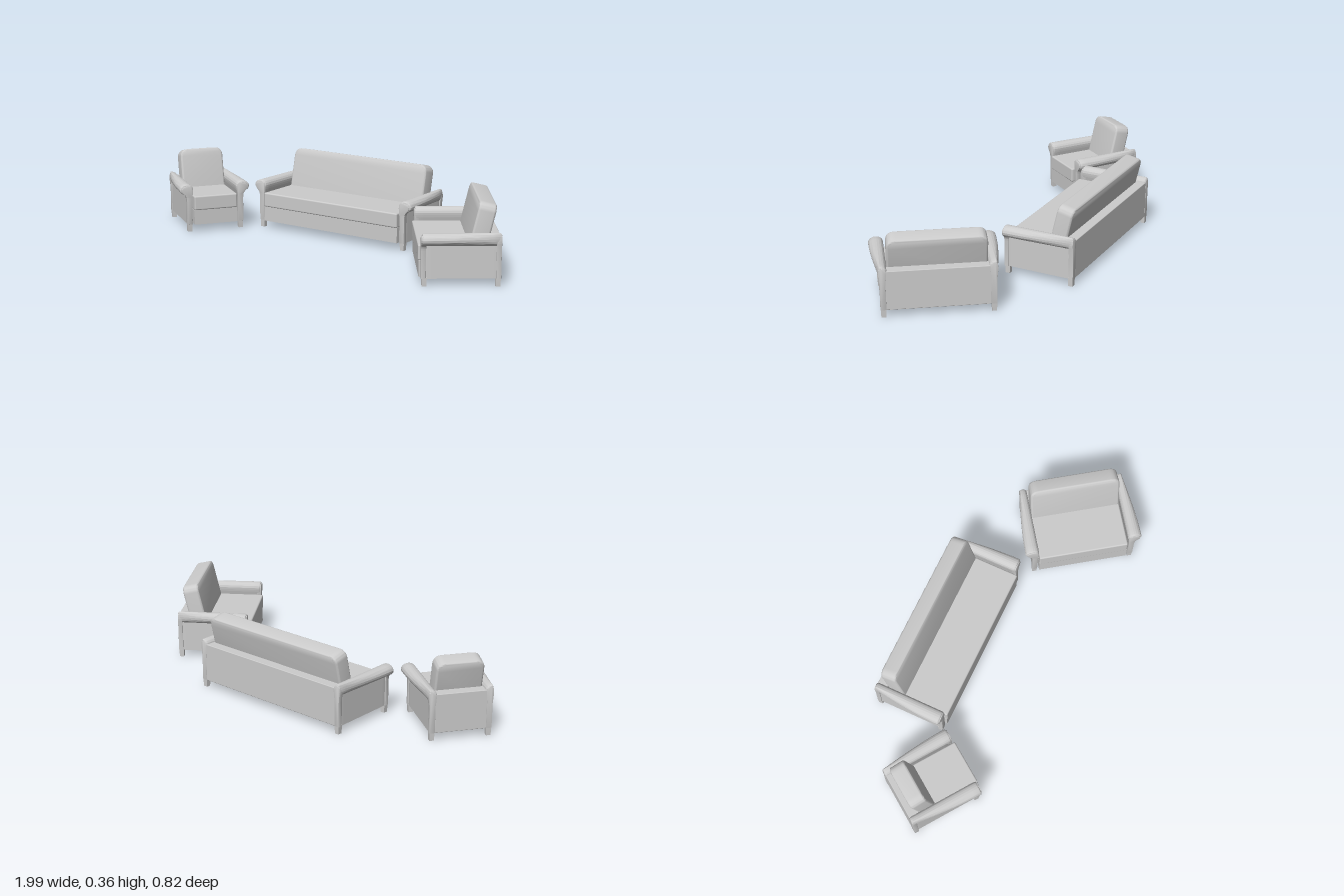
import * as THREE from 'three';
import { RoundedBoxGeometry } from 'three/addons/geometries/RoundedBoxGeometry.js';
import { toCreasedNormals } from 'three/addons/utils/BufferGeometryUtils.js';

const material = new THREE.MeshStandardMaterial({ color: 0xcccccc });
const DEPTH = 0.355, ARM_FRONT = 0.342, FLOOR_GAP = 0.035;

function add(parent, name, geometry, x = 0, y = 0, z = 0) {
  const mesh = new THREE.Mesh(geometry, material);
  mesh.name = name;
  mesh.position.set(x, y, z);
  parent.add(mesh);
  return mesh;
}

// Arm section: a thin upright panel that curls outward into a roll
function armShape() {
  const s = new THREE.Shape();
  s.moveTo(0.008, FLOOR_GAP);
  s.lineTo(0.03, FLOOR_GAP);
  s.lineTo(0.03, 0.18);
  s.splineThru([[0.046, 0.184], [0.062, 0.195], [0.067, 0.21], [0.057, 0.227],
    [0.035, 0.235], [0.013, 0.23], [0.002, 0.215], [0.003, 0.195], [0.008, 0.175]]
    .map(([x, y]) => new THREE.Vector2(x, y)));
  return s;
}

// Slimmer scrolled post that frames each end of the arm
function postShape(flare) {
  const s = new THREE.Shape();
  s.moveTo(0.008, FLOOR_GAP);
  s.lineTo(0.034, FLOOR_GAP);
  s.lineTo(0.034, 0.15);
  s.splineThru([[0.036 + flare * 0.1, 0.175], [0.036 + flare * 0.8, 0.195],
    [0.035 + flare, 0.21], [0.033 + flare * 0.6, 0.223], [0.02, 0.228],
    [0.007, 0.22], [0.004, 0.2], [0.008, 0.16]]
    .map(([x, y]) => new THREE.Vector2(x, y)));
  return s;
}

function armGeometry() {
  const bevel = 0.006, length = ARM_FRONT - 0.004 - 2 * bevel;
  const g = new THREE.ExtrudeGeometry(armShape(), {
    depth: length, steps: 10, curveSegments: 28,
    bevelEnabled: true, bevelThickness: bevel, bevelSize: bevel, bevelOffset: -bevel, bevelSegments: 3,
  });
  g.translate(0, 0, bevel + 0.002);
  // The roll widens in a gentle curve towards the front
  const p = g.attributes.position;
  for (let i = 0; i < p.count; i++) {
    const x = p.getX(i), t = THREE.MathUtils.clamp(p.getZ(i) / ARM_FRONT, 0, 1);
    if (x > 0.03) p.setX(i, 0.03 + (x - 0.03) * (0.18 + 0.82 * Math.sin(t * Math.PI / 2)));
  }
  return toCreasedNormals(g, 0.6);
}

function postGeometry(flare, depth) {
  const g = new THREE.ExtrudeGeometry(postShape(flare), {
    depth: depth - 0.004, curveSegments: 24,
    bevelEnabled: true, bevelThickness: 0.002, bevelSize: 0.002, bevelOffset: -0.002, bevelSegments: 2,
  });
  g.translate(0, 0, 0.002);
  return toCreasedNormals(g, 0.6);
}

// Square foot, narrower at the floor
function legGeometry() {
  const g = new THREE.CylinderGeometry(0.0165, 0.0145, FLOOR_GAP + 0.005, 4, 1);
  g.rotateY(Math.PI / 4);
  return toCreasedNormals(g, 0.4);
}

// Leaning back cushion with rounded upper corners
function backCushionGeometry(half) {
  const h = 0.203, r = 0.042, bevel = 0.01;
  const s = new THREE.Shape();
  s.moveTo(-half, 0);
  s.lineTo(half, 0);
  s.lineTo(half, h - r);
  s.quadraticCurveTo(half, h, half - r, h);
  s.lineTo(-half + r, h);
  s.quadraticCurveTo(-half, h, -half, h - r);
  const g = new THREE.ExtrudeGeometry(s, {
    depth: 0.078 - 2 * bevel, curveSegments: 10,
    bevelEnabled: true, bevelThickness: bevel, bevelSize: bevel, bevelOffset: -bevel, bevelSegments: 4,
  });
  g.translate(0, 0, bevel - 0.078);
  return toCreasedNormals(g, 0.6);
}

// Seat of any width; local z = 0 is the back face, +z is the front
function createSeat(name, half, x, z, turn) {
  const seat = new THREE.Group();
  seat.name = name;
  seat.position.set(x, 0, z);
  seat.rotation.y = turn;

  add(seat, 'base', new THREE.BoxGeometry(half * 2, 0.073, DEPTH - 0.006), 0, FLOOR_GAP + 0.0365, DEPTH / 2 - 0.001);
  add(seat, 'seatCushion', new RoundedBoxGeometry(half * 2, 0.07, DEPTH - 0.04, 3, 0.007), 0, 0.142, DEPTH / 2 + 0.02);
  add(seat, 'backPanel', new RoundedBoxGeometry(half * 2 + 0.02, 0.18, 0.05, 2, 0.003), 0, 0.125, 0.026);
  add(seat, 'backCushion', backCushionGeometry(half), 0, 0.165, 0.139).rotation.x = -0.23;

  for (const side of [1, -1]) {
    const arm = new THREE.Group();
    arm.name = side > 0 ? 'leftArm' : 'rightArm';
    arm.position.x = side * half;
    arm.scale.x = side;
    add(arm, 'armRest', armGeometry());
    add(arm, 'frontPost', postGeometry(0.024, 0.022), 0, 0, ARM_FRONT - 0.02);
    add(arm, 'rearPost', postGeometry(0.003, 0.022));
    for (const legZ of [0.013, ARM_FRONT - 0.013])
      add(arm, 'leg', legGeometry(), 0.021, (FLOOR_GAP + 0.005) / 2, legZ);
    seat.add(arm);
  }
  return seat;
}

export function createModel() {
  const model = new THREE.Group();
  model.name = 'loungeSuite';
  const turn = 0.955;
  model.add(createSeat('sofa', 0.387, -0.077, -0.41, 0));
  model.add(createSeat('loveseat', 0.217, 0.848, -0.02, -turn));
  model.add(createSeat('armchair', 0.108, -0.915, -0.085, turn));
  return model;
}
